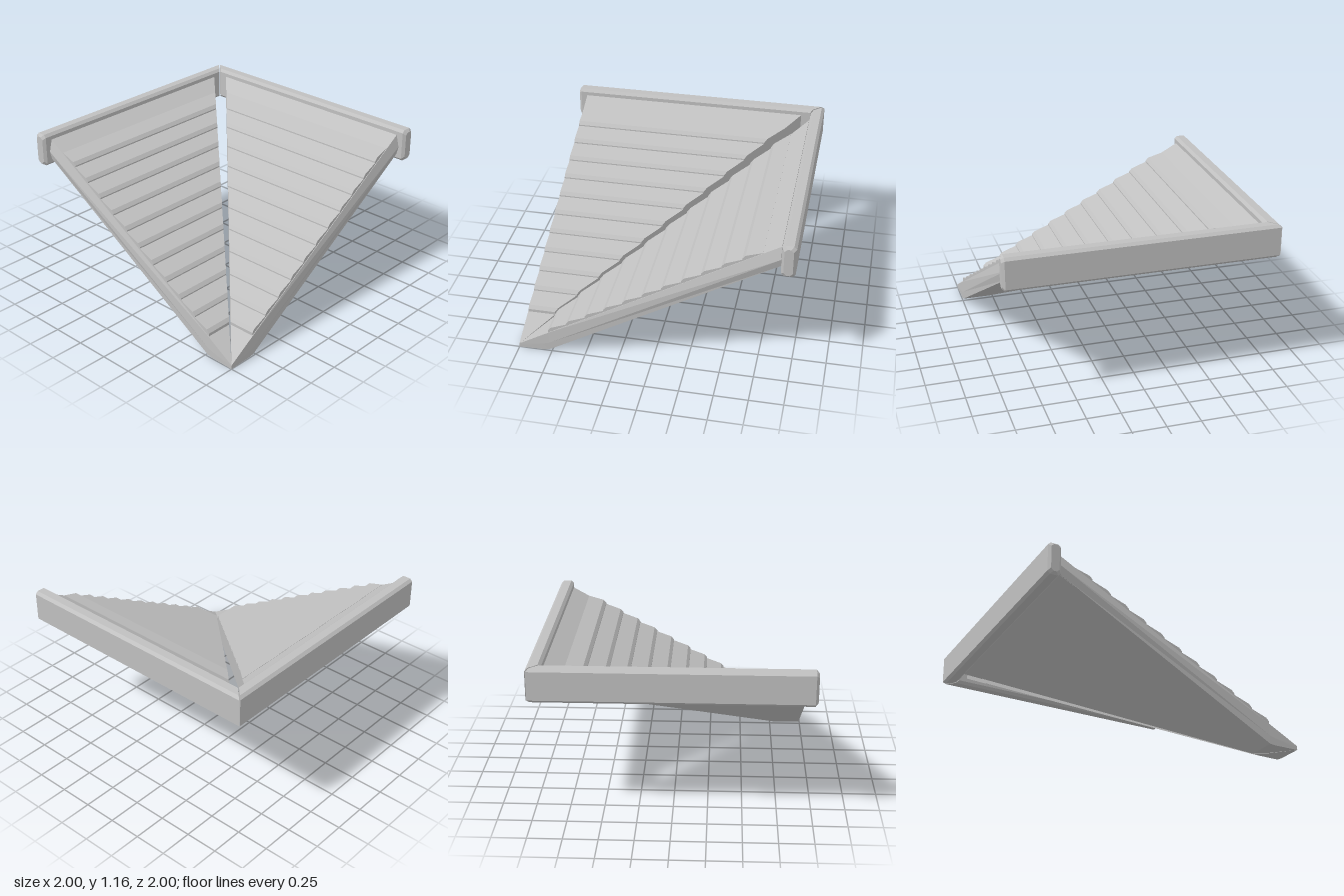
import * as THREE from 'three';

const grey = new THREE.MeshStandardMaterial({ color: 0xc0c0c0, flatShading: true });
grey.name = 'plain grey';

// Joins equal-length cross-sections into a closed solid, faces outward; mirrored across the valley if asked
function loft(name, sections, mirrored) {
  const place = ([x, y, z]) => (mirrored ? [-z, y, -x] : [x, y, z]);
  const s = sections.map(sec => sec.map(place));
  const n = s[0].length, last = s.length - 1, tris = [];
  for (let i = 0; i < last; i++) {
    for (let j = 0; j < n; j++) {
      const k = (j + 1) % n;
      tris.push([s[i][j], s[i + 1][j], s[i + 1][k]], [s[i][j], s[i + 1][k], s[i][k]]);
    }
  }
  for (let j = 1; j < n - 1; j++) {
    tris.push([s[0][0], s[0][j], s[0][j + 1]], [s[last][0], s[last][j + 1], s[last][j]]);
  }
  // signed volume decides the winding
  let volume = 0;
  for (const [a, b, c] of tris) {
    volume += a[0] * (b[1] * c[2] - b[2] * c[1]) + a[1] * (b[2] * c[0] - b[0] * c[2]) + a[2] * (b[0] * c[1] - b[1] * c[0]);
  }
  const points = tris.flatMap(([a, b, c]) => (volume < 0 ? [a, c, b] : [a, b, c])).flat();
  const geometry = new THREE.BufferGeometry();
  geometry.setAttribute('position', new THREE.Float32BufferAttribute(points, 3));
  geometry.computeVertexNormals();
  const mesh = new THREE.Mesh(geometry, grey);
  mesh.name = name;
  return mesh;
}

// Roof slope: top and underside heights, outer edge and valley edge at distance x
const topY = x => 0.03 + 0.575 * (x + 1);
const underY = x => Math.max(0, 0.576 * (x + 0.78));
const edgeTop = x => 1 - 0.0365 * (x + 1);
const edgeMid = x => 1 - 0.024 * (x + 1);
const valley = x => -x + 0.037 * (x + 1);

function roofSide(name, mirrored) {
  const side = new THREE.Group();
  side.name = name;

  // sloping slab with a chamfered lower edge
  side.add(loft('roofSlab', [-1, -0.82, -0.77, 0.895].map(x => {
    const t = topY(x), b = underY(x);
    return [
      [x, t, valley(x)], [x, t, edgeTop(x)], [x, b + (t - b) * 0.4, edgeMid(x)],
      [x, b, edgeMid(x) - 0.008 * (x + 1)], [x, b, valley(x)],
    ];
  }), mirrored));

  // overlapping shingle rows
  const pitch = 0.1405;
  for (let i = 0; i < 11; i++) {
    const x0 = -0.775 + i * pitch, x1 = x0 + pitch;
    const profile = [
      [x0, topY(x0) - 0.01], [x0, topY(x0) + 0.022], [x0 + 0.022, topY(x0 + 0.022) + 0.034],
      [x1, topY(x1) + (i < 10 ? 0.012 : 0.002)], [x1, topY(x1) - 0.01],
    ];
    const rowAt = z => profile.map(([x, y]) => [x, y, z(x)]);
    side.add(loft('shingleRow', [rowAt(valley), rowAt(x => edgeTop(x) - 0.004)], mirrored));
  }

  // ledger strip under the high end
  const ledger = [[0.775, 0.893], [0.9, 0.965], [0.9, 0.99], [0.77, 0.905]];
  const ledgerAt = z => ledger.map(([x, y]) => [x, y, z(x)]);
  side.add(loft('ledgerStrip', [ledgerAt(valley), ledgerAt(x => edgeMid(x) - 0.02)], mirrored));

  // bevelled ridge beam, mitred at the corner
  const beam = inset => {
    const a = 0.9 + inset, b = 1 - inset, lo = 0.915 + inset, hi = 1.165 - inset, c = 0.02;
    return [[a + c, lo], [b - c, lo], [b, lo + c], [b, hi - c], [b - c, hi], [a + c, hi], [a, hi - c], [a, lo + c]];
  };
  const beamAt = (inset, z) => beam(inset).map(([x, y]) => [x, y, z(x)]);
  side.add(loft('ridgeBeam', [
    beamAt(0.018, () => 1), beamAt(0, () => 0.98), beamAt(0, x => -x + 0.006),
  ], mirrored));
  return side;
}

export function createModel() {
  const model = new THREE.Group();
  model.name = 'valleyRoofCorner';
  model.add(roofSide('rightRoofSide', false), roofSide('backRoofSide', true));
  return model;
}
